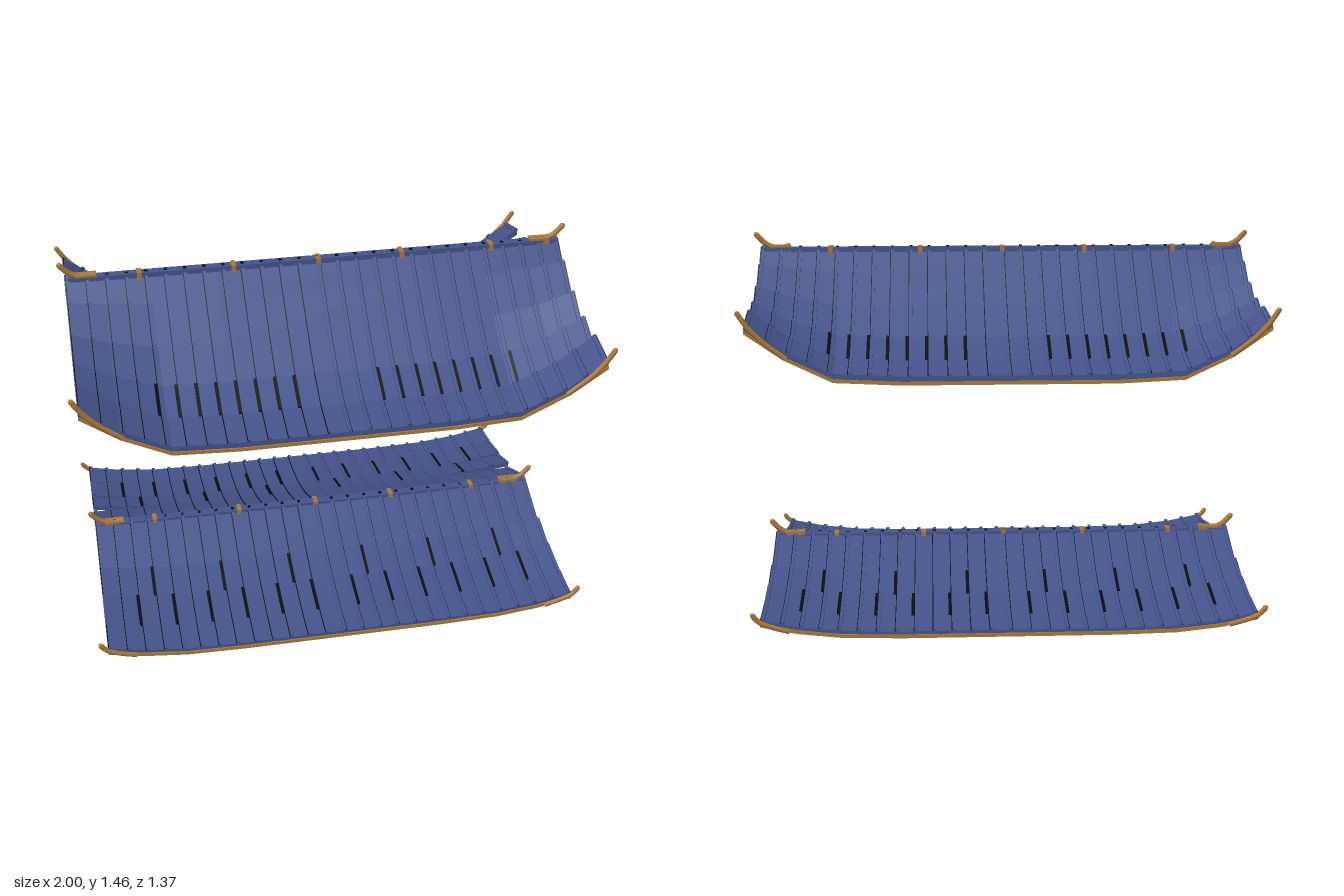
import * as THREE from 'three';
import { mergeGeometries } from 'three/addons/utils/BufferGeometryUtils.js';

const mat = (name, color) => {
  const m = new THREE.MeshStandardMaterial({ color });
  m.name = name;
  return m;
};

// Loft a slab across x. A row runs from the eave side (d0, y0) to the ridge side (d1, y1).
function slab(xs, row, rise, low, high) {
  const pos = [];
  const ring = xs.map((x) => {
    const y = row.lift * rise(Math.abs(x));
    return [[x, row.y0 + y + low, row.d0], [x, row.y0 + y + high, row.d0],
      [x, row.y1 + y + high, row.d1], [x, row.y1 + y + low, row.d1]];
  });
  const quad = (a, b, c, d) => pos.push(...a, ...b, ...c, ...a, ...c, ...d);
  for (let i = 0; i + 1 < ring.length; i++) {
    for (let j = 0; j < 4; j++) {
      const k = (j + 1) % 4;
      quad(ring[i][j], ring[i + 1][j], ring[i + 1][k], ring[i][k]);
    }
  }
  quad(...ring[0]);
  quad(...[...ring[ring.length - 1]].reverse());
  const g = new THREE.BufferGeometry();
  g.setAttribute('position', new THREE.Float32BufferAttribute(pos, 3));
  g.computeVertexNormals();
  return g;
}

// Piecewise-linear upturn towards the gable ends: 0 in the middle, 1 at the end.
const makeRise = (knots) => (x) => {
  for (let i = 1; i < knots.length; i++) {
    const [x0, v0] = knots[i - 1], [x1, v1] = knots[i];
    if (x <= x1 || i === knots.length - 1) return v0 + (v1 - v0) * (x - x0) / (x1 - x0);
  }
  return 0;
};

function horn(points, radius) {
  const curve = new THREE.CatmullRomCurve3(points.map((p) => new THREE.Vector3(...p)));
  const tube = new THREE.TubeGeometry(curve, 8, radius, 6).toNonIndexed();
  const last = points[points.length - 1];
  const tip = new THREE.SphereGeometry(radius, 6, 4).toNonIndexed().translate(...last);
  return mergeGeometries([tube, tip]);
}

const box = (w, h, d, x, y, z) => new THREE.BoxGeometry(w, h, d).translate(x, y, z);

function buildRoof(name, o, mats) {
  const roof = new THREE.Group();
  roof.name = name;
  const add = (parent, part, geos, m) => {
    const mesh = new THREE.Mesh(mergeGeometries(geos), m);
    mesh.name = part;
    parent.add(mesh);
  };
  const rise = makeRise(o.knots);
  const half = o.knots.map((k) => k[0]).slice(1);
  const xs = [...half.map((x) => -x).reverse(), ...half];
  const end = half[half.length - 1];
  const rows = o.lifts.map((lift, i) => ({
    d0: o.profile[i][0], y0: o.profile[i][1], d1: o.profile[i + 1][0], y1: o.profile[i + 1][1], lift,
  }));
  const [eaveD, eaveY] = o.profile[0];
  const t = o.thick;

  for (const side of [0, 1]) {
    const slope = new THREE.Group();
    slope.name = side ? 'backSlope' : 'frontSlope';
    slope.rotation.y = side * Math.PI;
    roof.add(slope);

    // Stepped rows of roofing, each curling up at its ends
    add(slope, 'roofPanels', rows.map((r) => slab(xs, r, rise, 0, t)), mats.blue);

    // Battens running down the slope with dark seams beside them
    const ribs = [], seams = [];
    for (let k = -13; k <= 13; k++) {
      const x = k * o.pitch;
      rows.forEach((r, i) => {
        ribs.push(slab([x - 0.006, x + 0.006], r, rise, t - 0.002, t + 0.008));
        const wide = o.wideSeam(i, Math.abs(k));
        const w = wide ? 0.013 : 0.003;
        const e = x + (k < 0 ? -1 : 1) * (0.006 + w / 2);
        if (Math.abs(e) + w / 2 < end) {
          seams.push(slab([e - w / 2, e + w / 2], r, rise, t - 0.001, t + (wide ? 0.006 : 0.003)));
        }
      });
    }
    add(slope, 'battens', ribs, mats.blue);
    add(slope, 'seams', seams, mats.black);

    // Gilded eave edge and upturned corner tips
    const edge = { d0: eaveD + 0.006, y0: eaveY, d1: eaveD - 0.006, y1: eaveY, lift: rows[0].lift };
    add(slope, 'eaveTrim', [slab(xs, edge, rise, -0.005, 0.008)], mats.gold);
    add(slope, 'cornerTips', [-1, 1].map((s) =>
      horn(o.cornerTip.map(([x, y]) => [s * x, y, eaveD + 0.002]), 0.01)), mats.gold);
  }

  // Ridge beam, studs, brackets and end horns
  const top = o.ridgeY;
  add(roof, 'ridgeBeam', [box(2 * end - 0.02, 0.024, 0.036, 0, top - 0.01, 0)], mats.blue);
  const studs = [], brackets = [];
  for (let k = -12; k <= 12; k++) studs.push(box(0.012, 0.006, 0.014, k * o.pitch, top + 0.003, 0));
  add(roof, 'ridgeStuds', studs, mats.black);
  for (const x of [-0.69, -0.33, 0, 0.33, 0.69]) brackets.push(box(0.018, 0.03, 0.046, x, top - 0.009, 0));
  for (const s of [-1, 1]) brackets.push(box(0.08, 0.026, 0.036, s * (end - 0.08), top - 0.002, 0));
  add(roof, 'ridgeBrackets', brackets, mats.gold);
  add(roof, 'ridgeHorns', [-1, 1].map((s) =>
    horn([[0.12, 0.01], [0.07, 0], [0.02, 0.017], [-0.015, 0.052]].map(([dx, dy]) =>
      [s * (end - dx), top + dy, 0]), 0.011)), mats.gold);
  return roof;
}

export function createModel() {
  const mats = {
    blue: mat('slateBlue', 0x44538a),
    gold: mat('agedGold', 0xa8783a),
    black: mat('seamBlack', 0x0b0c12),
  };
  const model = new THREE.Group();
  model.name = 'twoTierRoof';

  const upper = buildRoof('upperRoof', {
    knots: [[0, 0], [0.4, 0], [0.65, 0.06], [0.83, 0.5], [0.97, 1]],
    profile: [[0.635, 0.967], [0.49, 1.0], [0.365, 1.065], [0.235, 1.165], [0.1, 1.28], [0, 1.37]],
    lifts: [0.195, 0.143, 0.085, 0.037, 0.005],
    thick: 0.028, pitch: 0.0737, ridgeY: 1.4,
    cornerTip: [[0.82, 1.065], [0.9, 1.125], [0.955, 1.18], [0.99, 1.232]],
    wideSeam: (i, k) => i === 1 && k > 1 && k < 10,
  }, mats);
  upper.position.z = 0.035;

  const lower = buildRoof('lowerRoof', {
    knots: [[0, 0], [0.4, 0], [0.63, 0.1], [0.8, 0.45], [0.94, 1]],
    profile: [[0.65, 0.012], [0.515, 0.025], [0.36, 0.055], [0.225, 0.1], [0, 0.2]],
    lifts: [0.053, 0.05, 0.038, 0.01],
    thick: 0.02, pitch: 0.0715, ridgeY: 0.222,
    cornerTip: [[0.83, 0.04], [0.9, 0.06], [0.945, 0.08], [0.967, 0.105]],
    wideSeam: (i, k) => (i === 1 && k % 2 === 1) || (i === 2 && k % 4 === 2),
  }, mats);
  lower.position.z = -0.025;

  model.add(upper, lower);
  return model;
}
